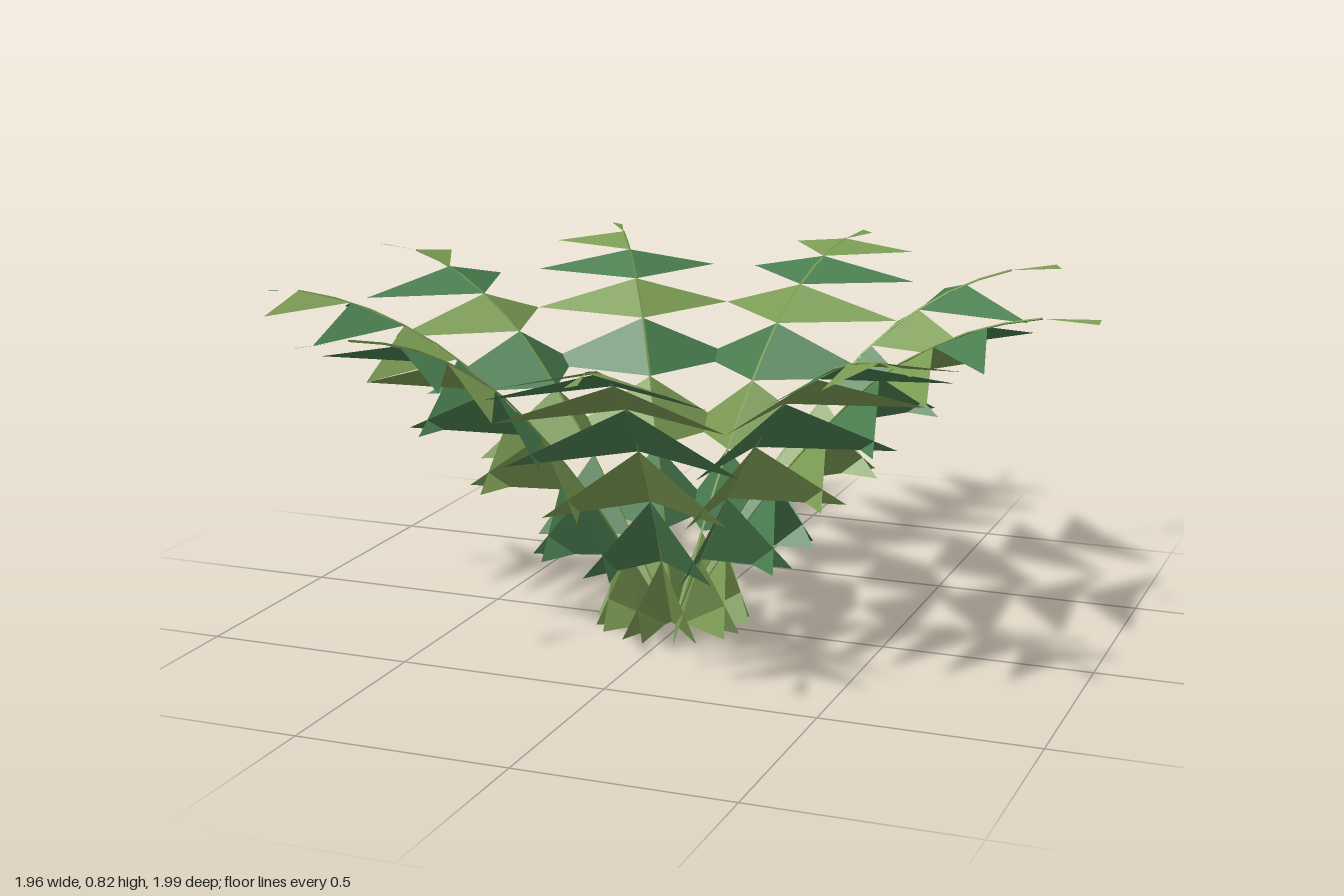
import * as THREE from 'three';

// Spine of a frond: evenly spaced outwards, rising in an easing arc
const STEP = 0.124;
const HEIGHTS = [0.008, 0.2, 0.38, 0.53, 0.655, 0.735, 0.79, 0.818, 0.818];
const SPINE = HEIGHTS.map((y, i) => new THREE.Vector3(0.012 + i * STEP, y, 0));

// Leaflet tips: distance from the centre and sideways reach, per tier
const TIPS = [[0.165, 0.09], [0.306, 0.15], [0.44, 0.21], [0.572, 0.258], [0.688, 0.25], [0.81, 0.235], [0.93, 0.172]];

// Sides that carry the outermost leaflet, for each of the nine fronds
const OUTER = [[], [1, -1], [1, -1], [], [1, -1], [1], [-1], [1, -1], []];

function triangles(points) {
  const g = new THREE.BufferGeometry().setFromPoints(points);
  g.computeVertexNormals();
  return g;
}

// Folded leaflets hanging from one spine segment
function leaflets(i, sides) {
  const pts = [];
  for (const s of sides) {
    const tip = new THREE.Vector3(TIPS[i][0], HEIGHTS[i], s * TIPS[i][1]);
    pts.push(...(s > 0 ? [SPINE[i], tip, SPINE[i + 1]] : [SPINE[i], SPINE[i + 1], tip]));
  }
  return triangles(pts);
}

export function createModel() {
  const leafMaterial = (name, color) => {
    const m = new THREE.MeshStandardMaterial({ color, flatShading: true, side: THREE.DoubleSide });
    m.name = name;
    return m;
  };
  const olive = leafMaterial('oliveGreen', 0x7c9c54);
  const green = leafMaterial('deepGreen', 0x4a7e50);

  const model = new THREE.Group();
  model.name = 'fern';

  // Thin rib and end bud are shared by all fronds
  const ribPath = new THREE.CatmullRomCurve3(SPINE.slice(0, 8));
  const ribGeometry = new THREE.TubeGeometry(ribPath, 14, 0.003, 3);
  const [budStart, budEnd] = [SPINE[7], SPINE[8]];
  const budGeometry = triangles([
    budStart,
    new THREE.Vector3(1.01, budEnd.y - 0.002, 0.014),
    new THREE.Vector3(1.01, budEnd.y + 0.004, -0.014),
  ]);

  OUTER.forEach((outerSides, f) => {
    const frond = new THREE.Group();
    frond.name = `frond${f + 1}`;
    frond.rotation.y = -f * Math.PI * 2 / 9;
    const add = (name, geometry, material) => {
      const mesh = new THREE.Mesh(geometry, material);
      mesh.name = name;
      frond.add(mesh);
    };

    // Leaflet tiers alternate between the two greens
    TIPS.forEach((_, i) => {
      const sides = i === 6 ? outerSides : [1, -1];
      if (sides.length) add(`leaflets${i + 1}`, leaflets(i, sides), i % 2 ? green : olive);
    });
    add('rib', ribGeometry, olive);
    add('endBud', budGeometry, olive);
    model.add(frond);
  });

  model.position.x = -0.03;
  const root = new THREE.Group();
  root.name = 'plant';
  root.add(model);
  return root;
}
